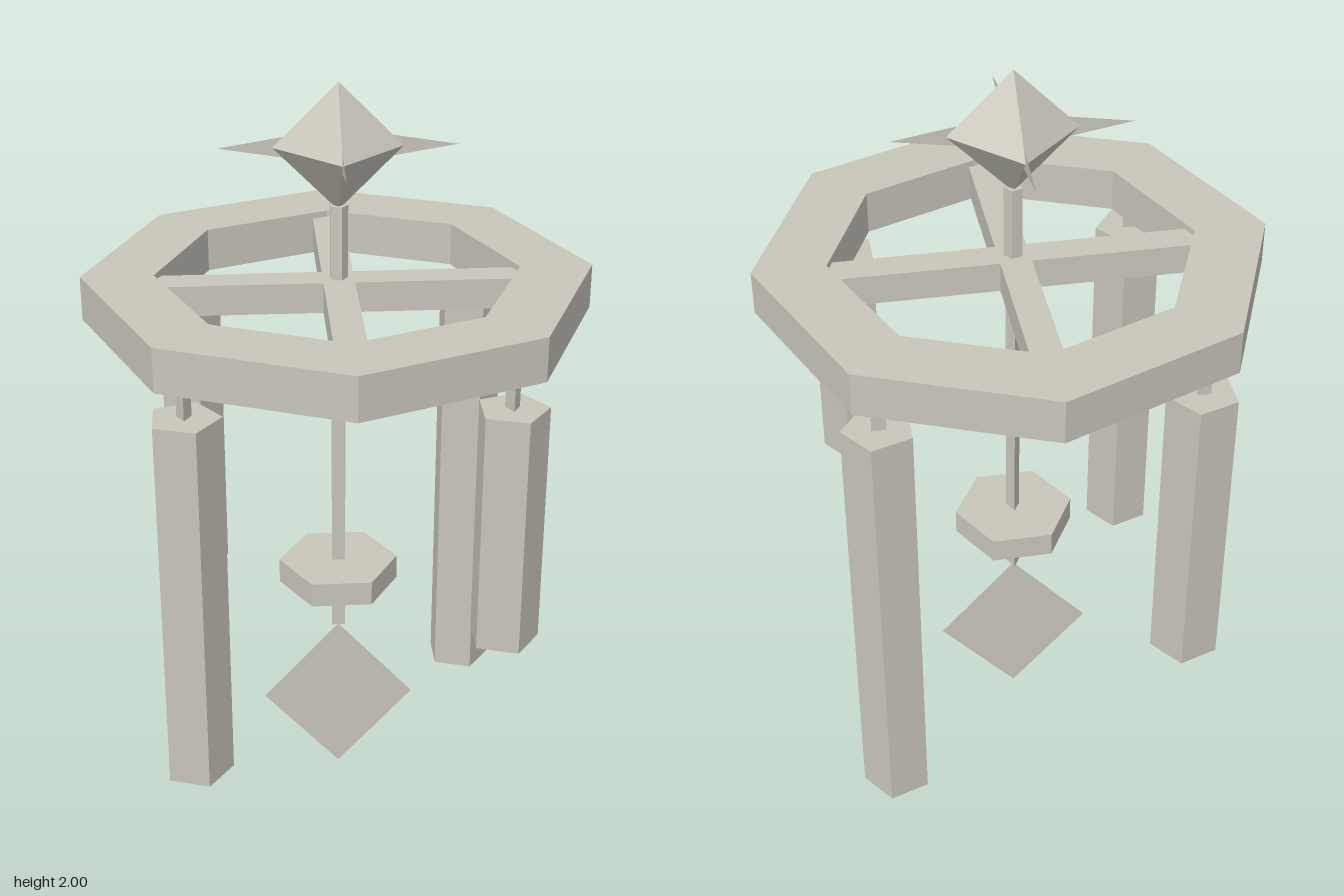
import * as THREE from 'three';

export function createModel() {
  const model = new THREE.Group();
  model.name = 'windChime';
  const stone = new THREE.MeshStandardMaterial({ color: 0xc8c5ba, side: THREE.DoubleSide });
  stone.name = 'warm grey';

  const add = (name, geometry, x = 0, y = 0, z = 0) => {
    const mesh = new THREE.Mesh(geometry, stone);
    mesh.name = name;
    mesh.position.set(x, y, z);
    model.add(mesh);
    return mesh;
  };

  // Faceted upright prism between two heights; turn 0 puts a corner at +z
  const prism = (name, sides, radius, bottom, top, turn = 0, x = 0, z = 0) => {
    const g = new THREE.CylinderGeometry(radius, radius, top - bottom, sides, 1, false, turn).toNonIndexed();
    g.computeVertexNormals();
    return add(name, g, x, (bottom + top) / 2, z);
  };

  const polygon = (sides, radius) => Array.from({ length: sides }, (_, i) => {
    const a = (i / sides) * Math.PI * 2;
    return new THREE.Vector2(Math.cos(a) * radius, Math.sin(a) * radius);
  });

  // Flat upright diamond
  const diamond = (name, halfWidth, halfHeight, y) => add(name, new THREE.ShapeGeometry(new THREE.Shape([
    new THREE.Vector2(halfWidth, 0), new THREE.Vector2(0, halfHeight),
    new THREE.Vector2(-halfWidth, 0), new THREE.Vector2(0, -halfHeight),
  ])), 0, y, 0);

  // Octagonal ring
  const ringShape = new THREE.Shape(polygon(8, 0.65));
  ringShape.holes.push(new THREE.Path(polygon(8, 0.465)));
  const ring = new THREE.ExtrudeGeometry(ringShape, { depth: 0.115, bevelEnabled: false });
  add('ring', ring.rotateX(-Math.PI / 2), 0, 1.4, 0);

  // Crossed spokes inside the ring
  add('spokeAcross', new THREE.BoxGeometry(0.94, 0.08, 0.08), 0, 1.458, 0);
  add('spokeDeep', new THREE.BoxGeometry(0.08, 0.08, 0.94), 0, 1.458, 0);

  // Finial with a crossed pair of flat star points
  prism('topRod', 5, 0.025, 1.46, 1.69, Math.PI / 2);
  add('finial', new THREE.OctahedronGeometry(0.162), 0, 1.839, 0);
  diamond('starPointsAcross', 0.297, 0.048, 1.84);
  diamond('starPointsDeep', 0.297, 0.048, 1.84).rotation.y = Math.PI / 2;

  // Centre rod, clapper and sail
  prism('centreRod', 3, 0.021, 0.47, 1.44, Math.PI);
  prism('clapper', 6, 0.161, 0.61, 0.678, Math.PI / 2);
  diamond('sail', 0.208, 0.233, 0.233);

  // Four chimes of different lengths on short hangers: [x side, z side, bottom]
  const reach = 0.394;
  for (const [sx, sz, bottom] of [[1, 1, 0.66], [1, -1, 0.1], [-1, 1, 0.287], [-1, -1, 0.475]]) {
    prism('chimeTube', 5, 0.092, bottom, 1.304, Math.PI / 2, sx * reach, sz * reach);
    prism('chimeHanger', 3, 0.021, 1.29, 1.41, 0, sx * reach, sz * reach);
  }

  return model;
}
